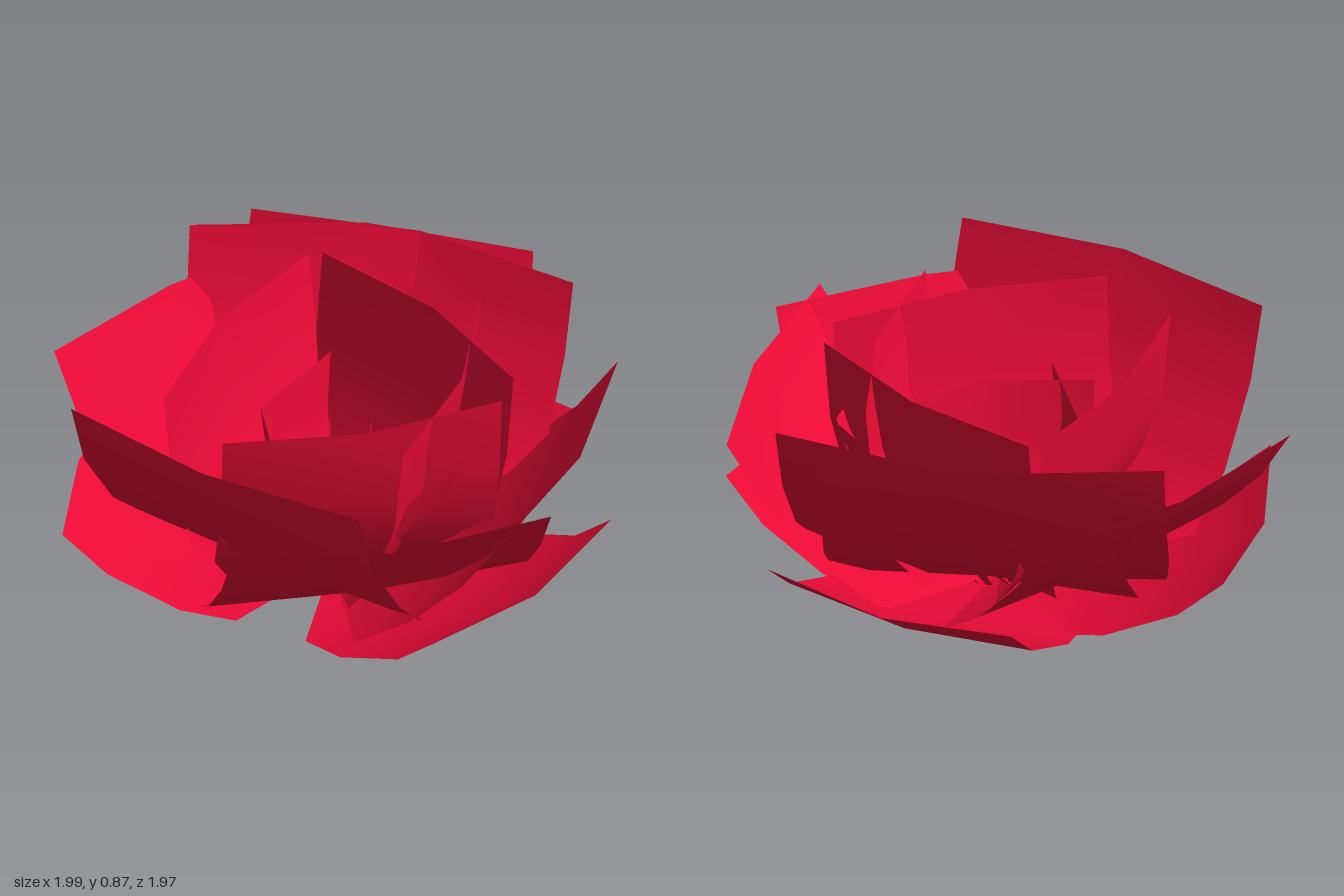
import * as THREE from 'three';

const material = new THREE.MeshStandardMaterial({ color: 0xe80a35, side: THREE.DoubleSide });

// Curved strip, three columns wide. Each row is [outward distance, height, half width];
// the middle column bulges outward by "bulge" and drops by "dip" towards the tip.
function strip(name, rows, angle, bulge = 0, dip = 0) {
  const positions = [], index = [];
  rows.forEach(([d, y, w], i) => {
    const t = i / (rows.length - 1);
    for (const side of [-1, 0, 1]) {
      const mid = side === 0 ? 1 : 0;
      positions.push(side * w, y - mid * dip * t, d + mid * bulge * t);
    }
    if (i === 0) return;
    for (let c = 0; c < 2; c++) {
      const a = (i - 1) * 3 + c, b = a + 3;
      index.push(a, b, a + 1, a + 1, b, b + 1);
    }
  });
  const geometry = new THREE.BufferGeometry();
  geometry.setAttribute('position', new THREE.Float32BufferAttribute(positions, 3));
  geometry.setIndex(index);
  geometry.computeVertexNormals();
  const mesh = new THREE.Mesh(geometry, material);
  mesh.name = name;
  // Angle is measured from +x towards +z
  mesh.rotation.y = THREE.MathUtils.degToRad(90 - angle);
  return mesh;
}

// Petal layers, from the flat outer ones to the upright heart
const layers = [
  { name: 'outerPetal', angles: [54.6, -43, -151.5], bulge: 0.06, dip: 0.03,
    rows: [[0.04, 0.005, 0.08], [0.24, 0.02, 0.44], [0.43, 0.06, 0.48], [0.69, 0.17, 0.48], [0.85, 0.31, 0.48]] },
  { name: 'middlePetal', angles: [91, 35, -113.6], bulge: 0.07, dip: 0.01,
    rows: [[0.04, 0.02, 0.1], [0.28, 0.1, 0.55], [0.5, 0.26, 0.57], [0.69, 0.46, 0.57], [0.84, 0.685, 0.57]] },
  { name: 'tallPetal', angles: [138.5, -67.7, -53.6], bulge: 0.08, dip: -0.01,
    rows: [[0.03, 0.03, 0.1], [0.3, 0.16, 0.58], [0.48, 0.33, 0.6], [0.66, 0.6, 0.6], [0.74, 0.86, 0.6]] },
  { name: 'innerPetal', angles: [90, 30.5, -26.6, -135], bulge: 0.07, dip: 0,
    rows: [[0.02, 0.03, 0.08], [0.17, 0.13, 0.42], [0.28, 0.29, 0.5], [0.36, 0.56, 0.5], [0.39, 0.87, 0.5]] },
  { name: 'budPetal', angles: [47, -20], bulge: 0.04, dip: 0,
    rows: [[0.02, 0.03, 0.06], [0.18, 0.12, 0.28], [0.32, 0.27, 0.31], [0.43, 0.45, 0.31], [0.5, 0.63, 0.31]] },
  { name: 'heartPetal', angles: [85, -152], bulge: 0.16, dip: 0,
    rows: [[0.01, 0.03, 0.05], [0.07, 0.11, 0.28], [0.1, 0.22, 0.36], [0.11, 0.4, 0.38], [0.1, 0.62, 0.38]] },
];

export function createModel() {
  const flower = new THREE.Group();
  flower.name = 'flower';

  for (const { name, angles, rows, bulge, dip } of layers) {
    for (const angle of angles) flower.add(strip(name, rows, angle, bulge, dip));
  }

  // Thin stamens that fan out flat under the base, then curve upward
  const count = 14;
  for (let i = 0; i < count; i++) {
    const reach = 0.27 + 0.09 * ((i * 5) % 7) / 6;
    const rows = [[0, 0.002, 0.006], [0.14, 0.004, 0.012], [reach * 0.7, 0.1, 0.018], [reach * 0.9, 0.24, 0.016], [reach, 0.38, 0.002]];
    flower.add(strip('stamen', rows, (i * 360) / count, 0.01));
  }

  // The layers share an axis slightly off the centre of the whole spread
  for (const part of flower.children) part.position.set(-0.018, 0, 0.012);
  return flower;
}
